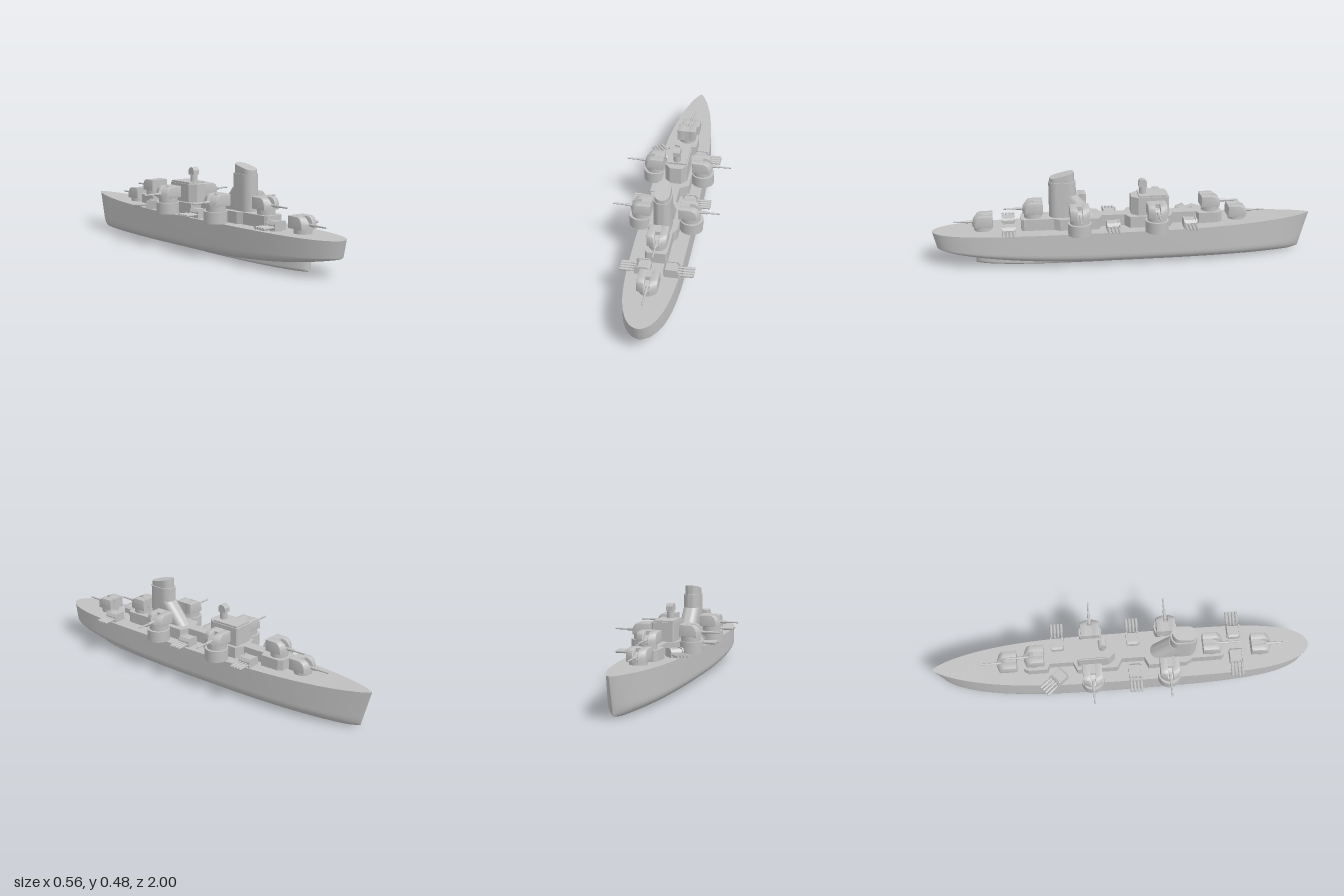
import * as THREE from 'three';
import { toCreasedNormals } from 'three/addons/utils/BufferGeometryUtils.js';

const grey = new THREE.MeshStandardMaterial({ color: 0xc0c0c0 });
grey.name = 'naval grey';

function add(parent, name, geo, x = 0, y = 0, z = 0) {
  const m = new THREE.Mesh(geo, grey);
  m.name = name;
  m.position.set(x, y, z);
  parent.add(m);
  return m;
}
const cyl = (r, h, n = 32, r2 = r) => new THREE.CylinderGeometry(r2, r, h, n);

// Flat plan outline of [x, z] points raised to a height
function slab(points, h) {
  const shape = new THREE.Shape(points.map(([x, z]) => new THREE.Vector2(x, -z)));
  const geo = new THREE.ExtrudeGeometry(shape, { depth: h, bevelEnabled: false });
  return geo.rotateX(-Math.PI / 2);
}
const mirrored = half => [...half, ...half.map(([x, z]) => [-x, z]).reverse()];

// Plan outline with semicircular ends, lying along z
function stadium(r, length, n = 14) {
  const pts = [], c = length / 2 - r;
  for (const side of [1, -1]) for (let i = 0; i <= n; i++) {
    const a = Math.PI * i / n;
    pts.push([side * r * Math.cos(a), side * (c + r * Math.sin(a))]);
  }
  return pts;
}

// Side profile of [z, y] points extruded to a width across x
function profile(points, width, bevel = 0) {
  const shape = new THREE.Shape(points.map(p => new THREE.Vector2(...p)));
  const geo = new THREE.ExtrudeGeometry(shape, {
    depth: width - 2 * bevel, bevelEnabled: bevel > 0, bevelSize: bevel,
    bevelThickness: bevel, bevelOffset: -bevel, bevelSegments: 2
  });
  return geo.rotateY(-Math.PI / 2).translate(width / 2 - bevel, 0, 0);
}

// Hull lines along s = -1 (bow) to 1 (stern)
const beam = s => s < 0 ? 0.135 * Math.max(0, 1 - (-s) ** 3) ** 0.75
  : 0.135 * Math.sqrt(Math.max(0, 1 - s ** 5.2));
const sheer = s => 0.18 + 0.02 * Math.max(0, -s) ** 2;
const keel = s => 0.09 * (Math.max(0, s - 0.1) / 0.9) ** 2 + 0.012 * (Math.max(0, -s - 0.9) / 0.1) ** 2;
const bilge = s => 0.065 - 0.055 * Math.max(0, s) ** 3;
function rake(s, y) {
  const k = s < 0 ? 0.055 * (1 - y / 0.2) : 0.022 * Math.min(1, (0.18 - y) / 0.09);
  return s * (1 - k * s ** 4);
}

// Loft of rounded sections, from the left rail under the keel to the right rail
function loft(s0, s1, w, top, bottom, round, zOf) {
  const N = 56, M = 12, cols = 2 * M + 3, pos = [], idx = [];
  for (let i = 0; i <= N; i++) {
    const s = (s0 + s1) / 2 - (s1 - s0) / 2 * Math.cos(Math.PI * i / N);
    const half = [[w(s), top(s)]];
    for (let j = 0; j <= M; j++) {
      const a = Math.PI / 2 * (1 - j / M);
      half.push([1.025 * w(s) * Math.sin(a) ** 0.75,
        bottom(s) + round(s) * (1 - Math.max(0, Math.cos(a)) ** 0.75)]);
    }
    const ring = [...half, ...half.slice(0, -1).reverse().map(([x, y]) => [-x, y])];
    for (const [x, y] of ring) pos.push(x, y, zOf(s, y));
  }
  for (let i = 0; i < N; i++) for (let j = 0; j < cols - 1; j++) {
    const a = i * cols + j, b = a + cols;
    idx.push(a, b, a + 1, b, b + 1, a + 1);
  }
  return indexed(pos, idx);
}

function deckGeometry() {
  const N = 56, pos = [], idx = [];
  for (let i = 0; i <= N; i++) {
    const s = -Math.cos(Math.PI * i / N), y = sheer(s), z = rake(s, y);
    pos.push(-beam(s), y, z, beam(s), y, z);
    if (i < N) idx.push(2 * i, 2 * i + 2, 2 * i + 1, 2 * i + 2, 2 * i + 3, 2 * i + 1);
  }
  return indexed(pos, idx);
}

function indexed(pos, idx) {
  const geo = new THREE.BufferGeometry();
  geo.setAttribute('position', new THREE.Float32BufferAttribute(pos, 3));
  geo.setIndex(idx);
  geo.computeVertexNormals();
  return geo;
}

// Single-gun turret facing local +z, with two cheeks and a sunken gun slot
function turret(parent, name, x, y, z, angle) {
  const g = new THREE.Group();
  g.name = name;
  g.position.set(x, y, z);
  g.rotation.y = angle;
  parent.add(g);
  const cheek = [[-0.052, 0], [0.053, 0], [0.053, 0.022], [0.048, 0.036], [0.038, 0.05], [0.024, 0.058], [0.01, 0.06], [-0.052, 0.06]];
  for (const side of [1, -1]) {
    const geo = profile(cheek, 0.038, 0.003).translate(side * 0.031, 0, 0);
    const p = geo.attributes.position;
    // Draw the outer front corners in
    for (let i = 0; i < p.count; i++) {
      const vx = p.getX(i), vz = p.getZ(i);
      if (Math.abs(vx) > 0.03 && vz > 0) p.setZ(i, vz * (1 - 14 * (Math.abs(vx) - 0.03)));
    }
    add(g, 'turretCheek', toCreasedNormals(geo, 0.6));
  }
  add(g, 'turretCore', profile([[-0.052, 0], [0.052, 0], [0.052, 0.012], [0.035, 0.018], [0.02, 0.034], [0, 0.04], [0, 0.06], [-0.052, 0.06]], 0.028));
  add(g, 'gunSleeve', cyl(0.0075, 0.06, 14).rotateX(Math.PI / 2), 0, 0.021, 0.055);
  add(g, 'gunBarrel', cyl(0.005, 0.082, 12, 0.004).rotateX(Math.PI / 2), 0, 0.021, 0.109);
}

// Four-barrelled light mount facing local +z
function lightMount(parent, x, z, angle) {
  const g = new THREE.Group();
  g.name = 'lightGunMount';
  g.position.set(x, 0.18, z);
  g.rotation.y = angle;
  parent.add(g);
  add(g, 'mountBase', cyl(0.03, 0.012, 24), 0, 0.006, 0);
  add(g, 'mountHousing', profile([[-0.04, 0.008], [0.03, 0.008], [0.03, 0.03], [0.02, 0.045], [-0.03, 0.045], [-0.04, 0.036]], 0.056));
  for (const side of [1, -1])
    add(g, 'mountShield', profile([[-0.034, 0.005], [0.036, 0.005], [0.036, 0.036], [0.026, 0.05], [-0.028, 0.05], [-0.034, 0.04]], 0.007), side * 0.031);
  for (let i = 0; i < 4; i++) {
    const bx = (i - 1.5) * 0.018;
    add(g, 'lightBarrel', cyl(0.005, 0.09, 10).rotateX(Math.PI / 2), bx, 0.021, 0.065);
    add(g, 'barrelJacket', cyl(0.0075, 0.05, 10).rotateX(Math.PI / 2), bx, 0.021, 0.083);
  }
}

export function createModel() {
  const ship = new THREE.Group();
  ship.name = 'warship';

  // Hull, deck and the deep lower body that stops short of the stern
  add(ship, 'hull', loft(-1, 1, beam, sheer, keel, bilge, rake));
  add(ship, 'deck', deckGeometry());
  add(ship, 'skeg', loft(0.12, 0.78, s => 0.1 * Math.sqrt(Math.max(0, 1 - (s / 0.78) ** 4)),
    s => Math.max(keel(s) + 0.015, 0.03), () => 0, () => 0.02, s => s));

  // Long deckhouse
  add(ship, 'deckhouse', slab(mirrored([
    [0.045, 0.54], [0.056, 0.525], [0.056, 0.37], [0.075, 0.34], [0.075, 0.14], [0.03, 0.12],
    [0.03, 0], [0.075, -0.025], [0.075, -0.235], [0.03, -0.255], [0.03, -0.38], [0.06, -0.39],
    [0.06, -0.49], [0.045, -0.515]]), 0.06), 0, 0.18, 0);

  // Bridge with chamfered after corners and roof
  add(ship, 'bridge', slab(mirrored([
    [0.03, -0.035], [0.058, -0.07], [0.058, -0.225], [0.052, -0.232]]), 0.096), 0, 0.24, 0);
  add(ship, 'bridgeRoof', new THREE.BoxGeometry(0.105, 0.01, 0.15), 0, 0.34, -0.148);
  add(ship, 'directorColumn', cyl(0.019, 0.05, 24), 0, 0.362, -0.098);
  add(ship, 'directorHead', profile([[-0.022, 0], [0.022, 0], [0.022, 0.024], [0.014, 0.036], [0, 0.04], [-0.014, 0.036], [-0.022, 0.024]], 0.036), 0, 0.382, -0.098);

  // Funnel with a sloping trunk and a raked cap
  const trunk = slab(stadium(0.044, 0.14), 0.12);
  const tp = trunk.attributes.position;
  for (let i = 0; i < tp.count; i++) tp.setZ(i, tp.getZ(i) - 0.1 * (1 - tp.getY(i) / 0.12));
  add(ship, 'funnelTrunk', toCreasedNormals(trunk, 0.6), 0, 0.235, 0.318);
  add(ship, 'funnel', toCreasedNormals(slab(stadium(0.044, 0.142), 0.187), 0.6), 0, 0.24, 0.322);
  const cap = slab(stadium(0.038, 0.128), 0.05);
  const cp = cap.attributes.position;
  for (let i = 0; i < cp.count; i++)
    if (cp.getY(i) > 0.04) cp.setY(i, 0.042 - 0.24 * cp.getZ(i));
  add(ship, 'funnelCap', toCreasedNormals(cap, 0.6), 0, 0.42, 0.324);

  // Centreline turrets: low outer pair and raised inner pair
  for (const [z, y, angle] of [[0.738, 0.203, 0], [0.478, 0.265, 0], [-0.457, 0.265, Math.PI], [-0.603, 0.205, Math.PI]]) {
    add(ship, 'barbette', cyl(0.045, 0.03), 0, y - 0.012, z);
    turret(ship, 'centrelineTurret', 0, y, z, angle);
  }

  // Wing turrets on tall barbettes
  for (const side of [1, -1]) for (const z of [0.243, -0.157]) {
    add(ship, 'wingBarbette', cyl(0.06, 0.06, 40), side * 0.13, 0.21, z);
    add(ship, 'wingTurretRing', cyl(0.05, 0.026, 36), side * 0.126, 0.253, z);
    turret(ship, 'wingTurret', side * (z > 0 ? 0.124 : 0.13), 0.265, z, side * Math.PI / 2);
  }

  // Light gun mounts along the deck
  const q = Math.PI / 2;
  for (const [x, z, a] of [[0.092, 0.605, q], [-0.052, 0.605, -q], [0.095, 0.067, q], [-0.095, 0.067, -q],
    [0.095, -0.335, q], [-0.095, -0.335, -q * 1.55]]) lightMount(ship, x, z, a);

  return ship;
}
